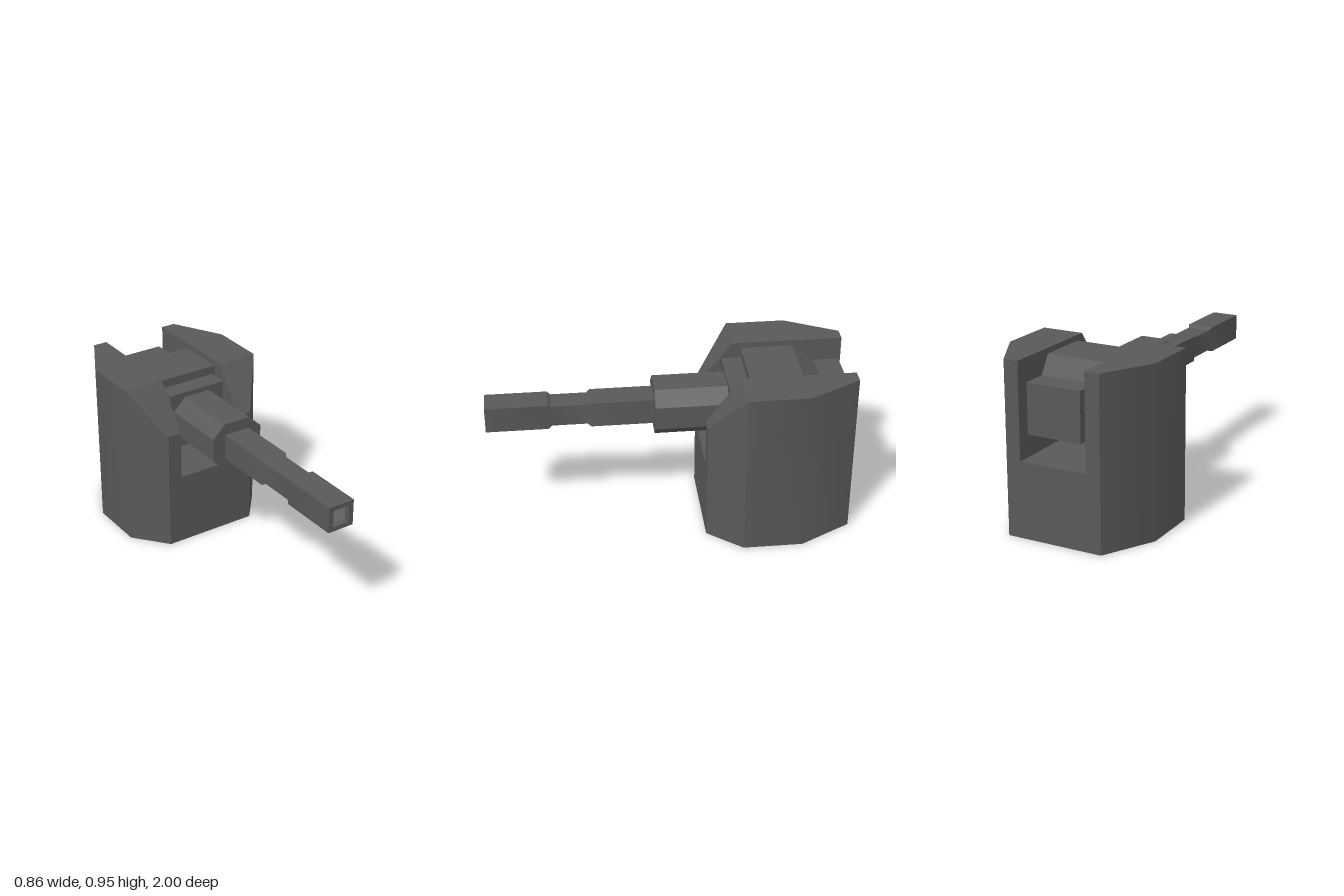
import * as THREE from 'three';
import { toCreasedNormals } from 'three/addons/utils/BufferGeometryUtils.js';

const DARK = 0x595959, LIGHT = 0x808080;
const AXIS_Y = 0.7025; // height of the gun's centre line

// Skin a list of equal-length rings (counter-clockwise seen from the far end), with optional end caps
function loft(rings, capEnd = true) {
  const pos = [];
  const tri = (a, b, c) => {
    if (new THREE.Triangle(a, b, c).getArea() > 1e-7) for (const p of [a, b, c]) pos.push(p.x, p.y, p.z);
  };
  const n = rings[0].length;
  for (let i = 0; i < rings.length - 1; i++) {
    const lo = rings[i], hi = rings[i + 1];
    for (let j = 0; j < n; j++) {
      const k = (j + 1) % n;
      tri(lo[j], lo[k], hi[k]);
      tri(lo[j], hi[k], hi[j]);
    }
  }
  const last = rings[rings.length - 1];
  for (let j = 1; j < n - 1; j++) {
    tri(rings[0][0], rings[0][j + 1], rings[0][j]);
    if (capEnd) tri(last[0], last[j], last[j + 1]);
  }
  const g = new THREE.BufferGeometry();
  g.setAttribute('position', new THREE.Float32BufferAttribute(pos, 3));
  return toCreasedNormals(g, 0.52);
}

// Rectangle around the gun axis, half sizes w and h, with corners cut by cx and cy
function section(z, w, h, cx = 0, cy = 0) {
  return [
    [w, cy - h], [w, h - cy], [w - cx, h], [cx - w, h],
    [-w, h - cy], [-w, cy - h], [cx - w, -h], [w - cx, -h],
  ].map(([x, y]) => new THREE.Vector3(x, AXIS_Y + y, z));
}

// Side profile of the housing at a given x: back, top, sloped front corner, front
function housingRing(x, back, front, top, frontTop) {
  return [[0, back], [top, back], [top, -0.38], [frontTop, front], [0, front]]
    .map(([y, z]) => new THREE.Vector3(x, y, z));
}

export function createModel() {
  const group = new THREE.Group();
  const add = (name, geometry, color = DARK) => {
    const mesh = new THREE.Mesh(geometry, new THREE.MeshStandardMaterial({ color }));
    mesh.name = name;
    group.add(mesh);
    return mesh;
  };

  // Housing: eight-sided block with an open slot between two sloped cheeks
  const half = [
    [0.43, -0.71, -0.38, 0.95, 0.95],
    [0.275, -1, -0.19, 0.95, 0.70],
    [0.193, -1, -0.19, 0.95, 0.70],
    [0.193, -1, -0.19, 0.42, 0.42],
  ];
  add('housing', loft([
    ...half.map(([x, ...r]) => housingRing(-x, ...r)),
    ...half.slice().reverse().map(([x, ...r]) => housingRing(x, ...r)),
  ]));

  // Breech with tapered rear
  add('breech', loft([
    section(-0.98, 0.155, 0.1375),
    section(-0.84, 0.155, 0.1375),
    section(-0.72, 0.191, 0.2175),
    section(-0.43, 0.191, 0.2175),
  ]));

  add('collar', loft([section(-0.44, 0.175, 0.1675), section(-0.32, 0.175, 0.1675)]));

  // Eight-sided sleeve
  add('sleeve', loft([-0.33, 0.08].map(z => section(z, 0.155, 0.1385, 0.076, 0.072))));

  // Barrel with a narrow waist and a shallow square bore
  add('barrel', loft([
    section(0.07, 0.077, 0.073),
    section(0.425, 0.077, 0.073),
    section(0.445, 0.066, 0.06),
    section(0.64, 0.066, 0.06),
    section(0.66, 0.077, 0.073),
    section(1, 0.077, 0.073),
    section(1, 0.049, 0.048),
    section(0.97, 0.049, 0.048),
  ], false));
  add('boreFloor', new THREE.PlaneGeometry(0.098, 0.096), LIGHT).position.set(0, AXIS_Y, 0.97);

  return group;
}
